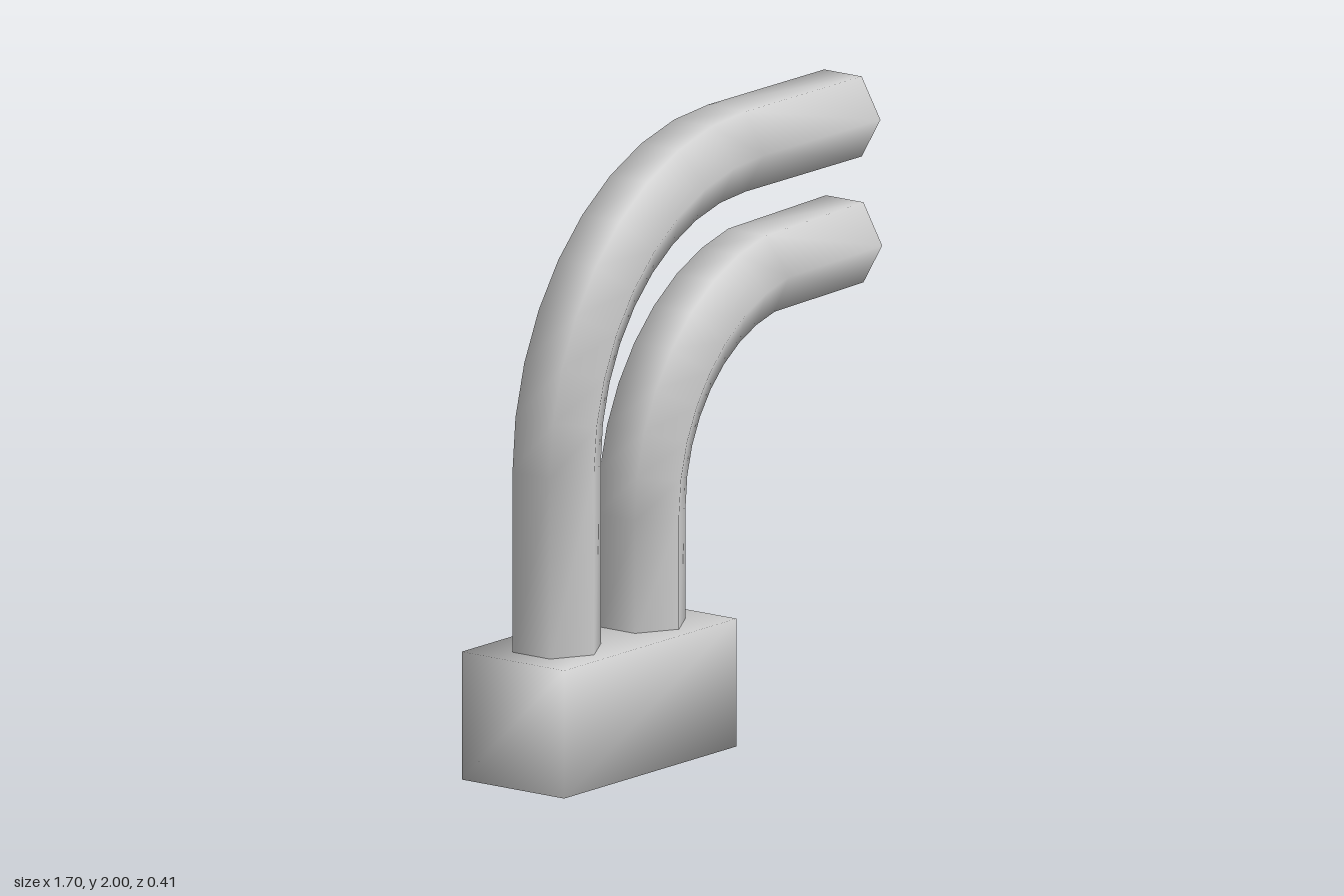
import * as THREE from 'three';
import { mergeVertices } from 'three/addons/utils/BufferGeometryUtils.js';

const material = new THREE.MeshStandardMaterial({ color: 0xcccccc, side: THREE.DoubleSide });

// Weld all corners so that normals blend smoothly over every edge
function smooth(geometry) {
  geometry.deleteAttribute('normal');
  geometry.deleteAttribute('uv');
  const welded = mergeVertices(geometry);
  welded.computeVertexNormals();
  return welded;
}

// Open six-sided pipe: rises at x, bends towards +x through 10 degree steps, then runs to the end point
function bentPipe(name, { x, bendY, bendRadius, steps, endX, endY }) {
  const rings = [{ x, y: 0.38, a: 0 }];
  for (let i = 0; i <= steps; i++) {
    const a = (i * Math.PI) / 18;
    rings.push({
      x: x + bendRadius * (1 - Math.cos(a)),
      y: bendY + bendRadius * Math.sin(a),
      a,
    });
  }
  rings.push({ x: endX, y: endY, a: Math.PI / 2 });

  // Bend a straight tube by placing each of its rows on a ring
  const count = rings.length - 1;
  const geometry = new THREE.CylinderGeometry(0.15, 0.15, count, 6, count, true);
  const p = geometry.attributes.position;
  for (let i = 0; i < p.count; i++) {
    const ring = rings[Math.round(p.getY(i) + count / 2)];
    const r = p.getX(i);
    p.setXY(i, ring.x + r * Math.cos(ring.a), ring.y - r * Math.sin(ring.a));
  }
  const mesh = new THREE.Mesh(smooth(geometry), material);
  mesh.name = name;
  return mesh;
}

export function createModel() {
  const model = new THREE.Group();
  model.name = 'twinPipes';

  // Base block holding both pipes
  const base = new THREE.Mesh(smooth(new THREE.BoxGeometry(0.88, 0.415, 0.41)), material);
  base.name = 'baseBlock';
  base.position.set(-0.41, 0.2075, 0);
  model.add(base);

  // Tall outer pipe and short inner pipe
  model.add(
    bentPipe('outerPipe', { x: -0.627, bendY: 1, bendRadius: 0.87, steps: 9, endX: 0.837, endY: 1.87 }),
    bentPipe('innerPipe', { x: -0.193, bendY: 0.78, bendRadius: 0.68, steps: 8, endX: 0.846, endY: 1.46 }),
  );
  return model;
}
